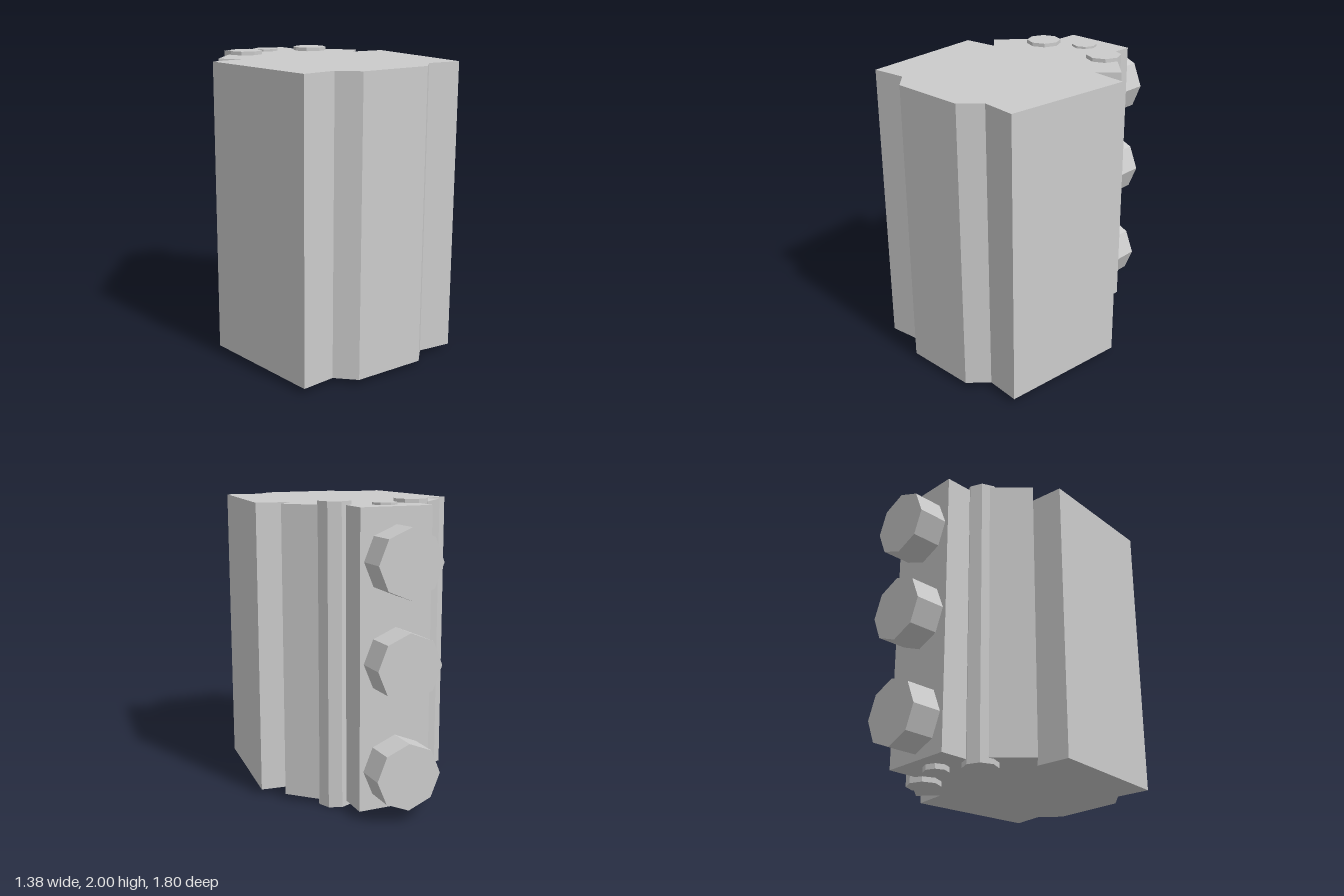
import * as THREE from 'three';

const material = new THREE.MeshStandardMaterial({ color: 0xcccccc, flatShading: true });

function addMesh(group, name, geometry, x = 0, y = 0, z = 0) {
  const mesh = new THREE.Mesh(geometry, material);
  mesh.name = name;
  mesh.position.set(x, y, z);
  group.add(mesh);
  return mesh;
}

export function createModel() {
  const group = new THREE.Group();
  group.name = 'notchedBlock';

  // Body: half outline as [x, z] from front to back, mirrored and extruded upward
  const half = [
    [0.25, 0.9], [0.37, 0.78], [0.605, 0.805], [0.692, -0.08], [0.455, -0.105],
    [0.572, -0.22], [0.365, -0.43], [0.247, -0.31], [0.247, -0.7],
  ];
  const outline = [...half, ...half.map(([x, z]) => [-x, z]).reverse()];
  const shape = new THREE.Shape(outline.map(([x, z]) => new THREE.Vector2(x, -z)));
  const body = new THREE.ExtrudeGeometry(shape, { depth: 1.94, bevelEnabled: false });
  body.rotateX(-Math.PI / 2);
  addMesh(group, 'body', body, 0, 0.035, 0);

  // Vertical rods running through the body, their ends standing slightly proud
  const rods = [
    ['rightRod', -0.255, -0.395, 0.116, 2],
    ['leftRod', 0.283, -0.393, 0.116, 2],
    ['centreRod', 0, -0.531, 0.084, 1.99],
  ];
  for (const [name, x, z, radius, height] of rods) {
    addMesh(group, name, new THREE.CylinderGeometry(radius, radius, height, 8), x, height / 2, z);
  }

  // Octagonal studs on the back face
  for (const y of [0.3, 1.005, 1.645]) {
    const stud = new THREE.CylinderGeometry(0.221, 0.221, 0.21, 8);
    stud.rotateX(Math.PI / 2);
    addMesh(group, 'backStud', stud, 0, y, -0.8);
  }

  return group;
}
